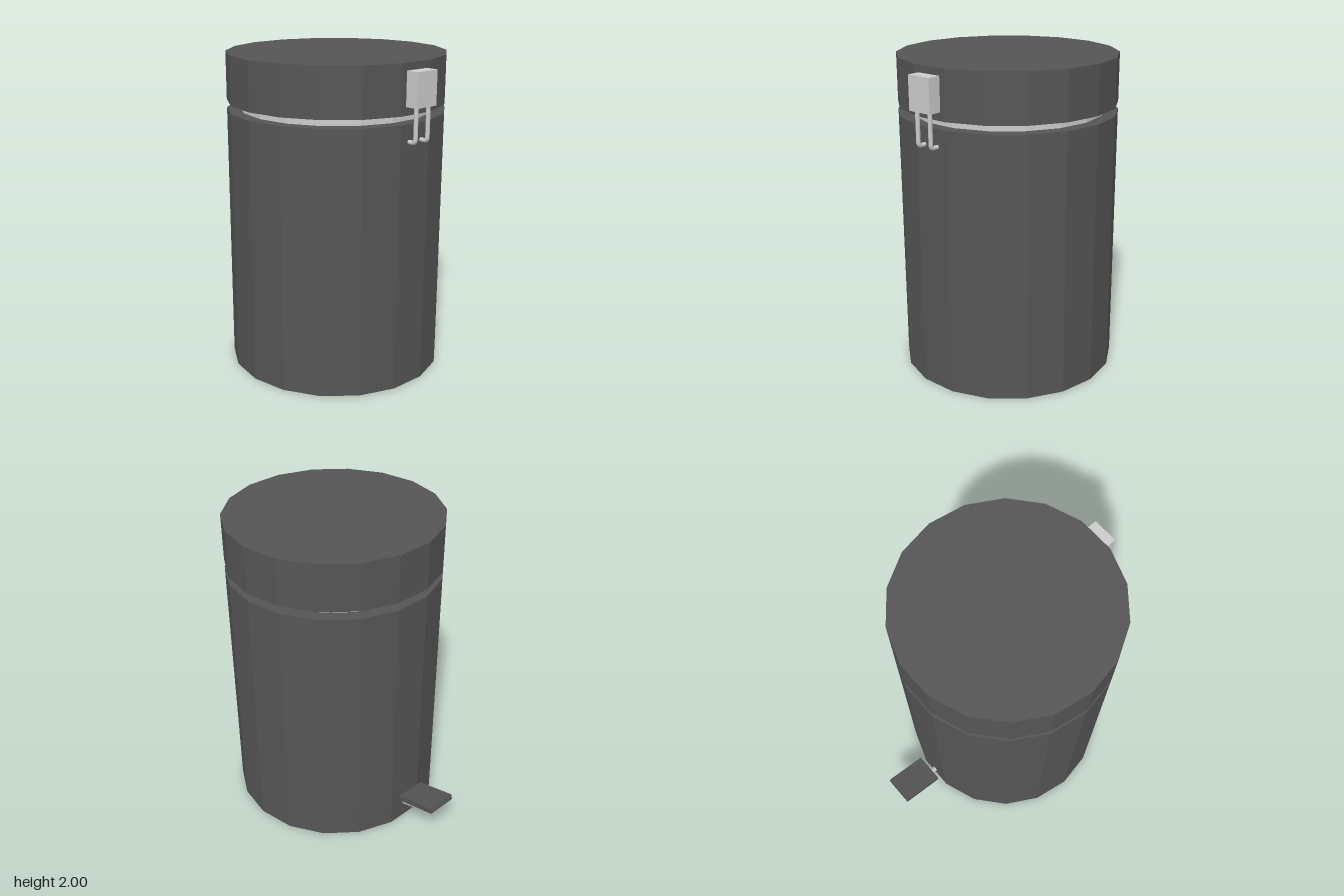
import * as THREE from 'three';

const SIDES = 18;
const AXIS_Z = 0.12; // the drum sits forward of centre, balancing the pedal

const dark = new THREE.MeshStandardMaterial({ color: 0x555555, flatShading: true });
const metalFlat = new THREE.MeshStandardMaterial({ color: 0xcccccc, flatShading: true });
const metal = new THREE.MeshStandardMaterial({ color: 0xcccccc });

function add(parent, name, geometry, material) {
  const mesh = new THREE.Mesh(geometry, material);
  mesh.name = name;
  parent.add(mesh);
  return mesh;
}

// Upright faceted drum between two heights
function drum(parent, name, radius, y0, y1, material) {
  const mesh = add(parent, name, new THREE.CylinderGeometry(radius, radius, y1 - y0, SIDES), material);
  mesh.position.y = (y0 + y1) / 2;
}

// Wire with one rounded bend, lying in the local yz plane; points are [z, y]
function bentRod(start, corner, end, bend, radius) {
  const [a, c, b] = [start, corner, end].map(([z, y]) => new THREE.Vector3(0, y, z));
  const towards = (p) => c.clone().add(p.clone().sub(c).setLength(bend));
  const path = new THREE.CurvePath();
  path.add(new THREE.LineCurve3(a, towards(a)));
  path.add(new THREE.QuadraticBezierCurve3(towards(a), c, towards(b)));
  path.add(new THREE.LineCurve3(towards(b), b));
  return new THREE.TubeGeometry(path, 40, radius, 10);
}

// Group whose +z points straight out of one facet of the drum
function facetGroup(parent, name, degrees) {
  const group = new THREE.Group();
  group.name = name;
  group.rotation.y = THREE.MathUtils.degToRad(degrees);
  parent.add(group);
  return group;
}

export function createModel() {
  const model = new THREE.Group();
  model.name = 'pedalBin';
  const bin = new THREE.Group();
  bin.name = 'bin';
  bin.position.z = AXIS_Z;
  model.add(bin);

  // Body, recessed inner bucket showing at the gap, and lid
  drum(bin, 'body', 0.68, 0, 1.65, dark);
  drum(bin, 'innerBucket', 0.6, 1.6, 1.75, metalFlat);
  drum(bin, 'lid', 0.68, 1.7, 2, dark);

  // Hinge: block on the lid with two wires hooked into the body
  const hinge = facetGroup(bin, 'hinge', -10);
  add(hinge, 'hingeBlock', new THREE.BoxGeometry(0.163, 0.205, 0.096), metalFlat)
    .position.set(0, 1.853, 0.703);
  for (const side of [-1, 1]) {
    add(hinge, 'hingeWire', bentRod([0.72, 1.77], [0.72, 1.546], [0.65, 1.546], 0.022, 0.013), metal)
      .position.x = side * 0.05;
  }

  // Pedal: tilted plate carried by a bent lever
  const pedal = facetGroup(bin, 'pedal', 170);
  const plate = add(pedal, 'pedalPlate', new THREE.BoxGeometry(0.197, 0.036, 0.28), dark);
  plate.position.set(0, 0.272, 0.855);
  plate.rotation.x = THREE.MathUtils.degToRad(-15);
  add(pedal, 'pedalLever', bentRod([0.63, 0.103], [0.875, 0.178], [0.853, 0.268], 0.035, 0.018), metal);

  return model;
}
